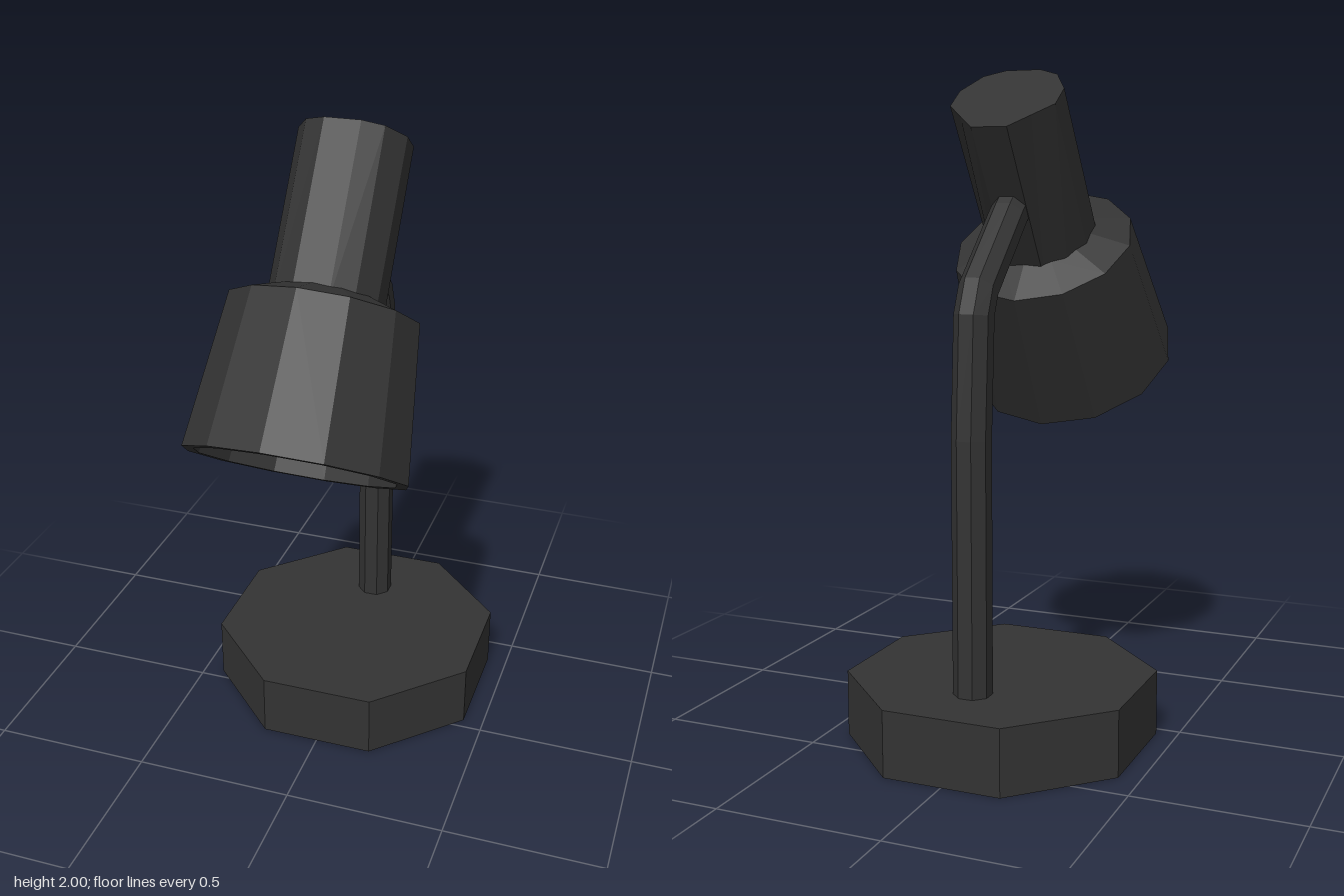
import * as THREE from 'three';

// Skin a list of equal-length rings (counter-clockwise about the direction of travel), capping both ends.
function loft(rings) {
  const pos = [];
  const tri = (...pts) => pts.forEach((p) => pos.push(p.x, p.y, p.z));
  const n = rings[0].length;
  for (let k = 0; k < rings.length - 1; k++) {
    const a = rings[k], b = rings[k + 1];
    for (let i = 0; i < n; i++) {
      const j = (i + 1) % n;
      tri(a[i], a[j], b[j]);
      tri(a[i], b[j], b[i]);
    }
  }
  const first = rings[0], last = rings[rings.length - 1];
  for (let i = 1; i < n - 1; i++) {
    tri(first[0], first[i + 1], first[i]);
    tri(last[0], last[i], last[i + 1]);
  }
  const g = new THREE.BufferGeometry();
  g.setAttribute('position', new THREE.Float32BufferAttribute(pos, 3));
  g.computeVertexNormals();
  return g;
}

// Mirror a half outline of [x, z] points, front to back, into a full ring at height y.
function mirroredRing(half, y) {
  const left = half.map(([x, z]) => new THREE.Vector3(x, y, z));
  const right = half.map(([x, z]) => new THREE.Vector3(-x, y, z)).reverse();
  return [...left, ...right];
}

export function createModel() {
  const model = new THREE.Group();
  model.name = 'deskLamp';
  const charcoal = new THREE.MeshStandardMaterial({ color: 0x333333, flatShading: true });
  charcoal.name = 'charcoal';

  const add = (parent, name, geometry) => {
    const mesh = new THREE.Mesh(geometry, charcoal);
    mesh.name = name;
    parent.add(mesh);
    return mesh;
  };

  // Heavy octagonal foot
  const base = add(model, 'base', new THREE.CylinderGeometry(0.471, 0.471, 0.2, 8).rotateY(Math.PI / 8));
  base.position.set(0, 0.1, -0.215);

  // Bent octagonal arm: mitred rings along a path of [y, z]
  const path = [[0.15, -0.43], [0.95, -0.43], [1.3, -0.408], [1.37, -0.378], [1.57, -0.165], [1.63, -0.09]]
    .map(([y, z]) => new THREE.Vector3(0, y, z));
  const armRings = path.map((p, k) => {
    const before = path[Math.max(k - 1, 0)], after = path[Math.min(k + 1, path.length - 1)];
    const t = after.clone().sub(before).normalize();
    const side = new THREE.Vector3(0, -t.z, t.y);
    return Array.from({ length: 8 }, (_, i) => {
      const a = ((i + 0.5) / 8) * Math.PI * 2;
      return p.clone().addScaledVector(side, 0.058 * Math.cos(a))
        .add(new THREE.Vector3(0.058 * Math.sin(a), 0, 0));
    });
  });
  add(model, 'arm', loft(armRings));

  // Tilted head, local y runs from the open rim to the cap
  const head = new THREE.Group();
  head.name = 'head';
  head.position.set(0, 1.1, 0.375);
  head.rotation.x = -0.6;
  model.add(head);

  // Twelve-sided shade with wall thickness and a sloping shoulder
  const profile = [[0, 0.42], [0.25, 0.42], [0.3, 0], [0.333, 0], [0.284, 0.46], [0.16, 0.505]]
    .map(([r, y]) => new THREE.Vector2(r, y));
  add(head, 'shade', new THREE.LatheGeometry(profile, 12));

  // Bulb housing, pinched at the back of its top
  const lower = [[0.055, 0.16], [0.12, 0.125], [0.165, 0.05], [0.165, -0.045], [0.12, -0.125], [0.055, -0.165]];
  const upper = [[0.055, 0.16], [0.118, 0.13], [0.165, 0.05], [0.165, -0.034], [0.11, -0.092], [0.055, -0.15]];
  add(head, 'bulbHousing', loft([mirroredRing(lower, 0.45), mirroredRing(upper, 0.98)]));

  return model;
}
